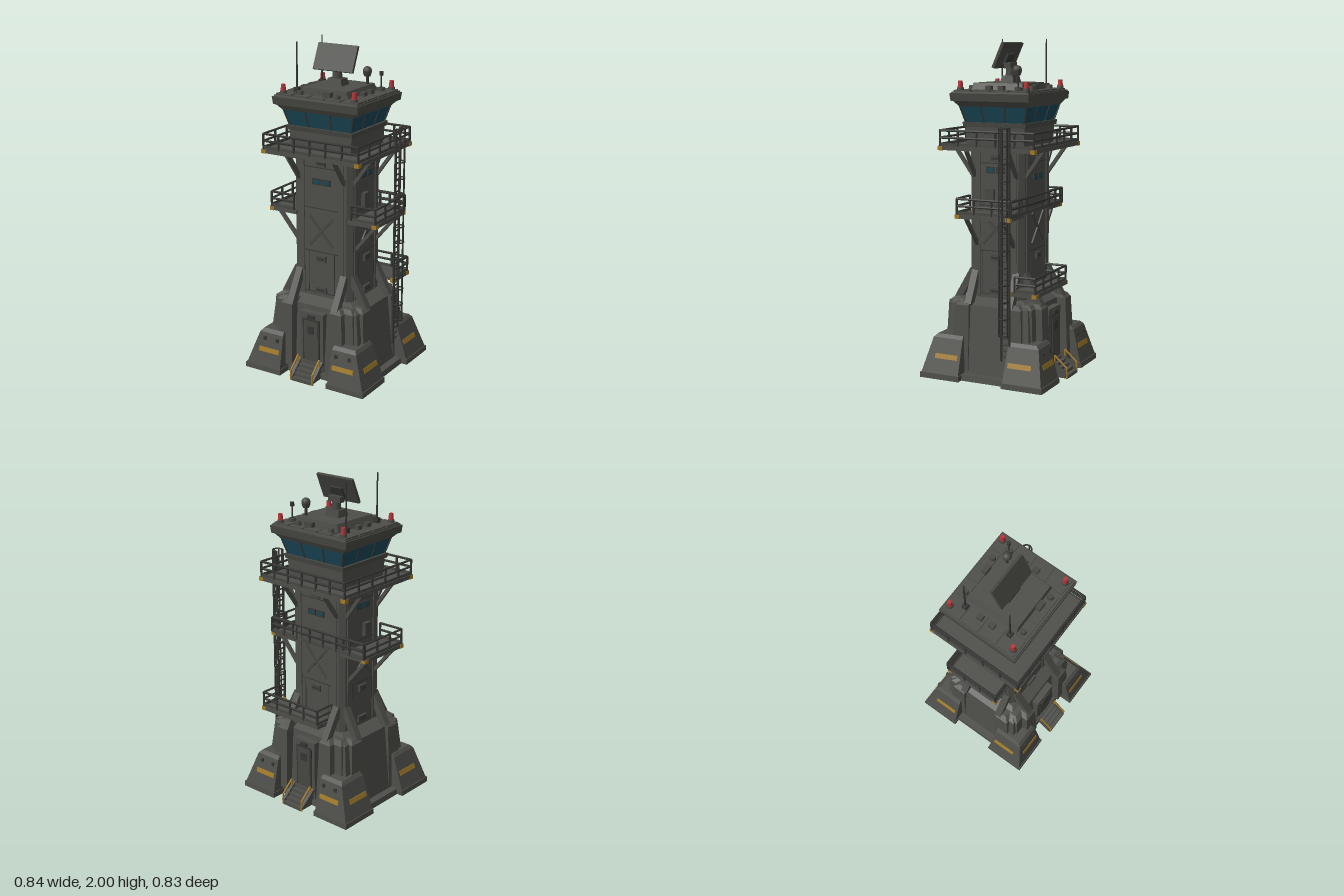
import * as THREE from 'three';

const paint = (name, color) => Object.assign(new THREE.MeshStandardMaterial({ color }), { name });

export function createModel() {
  const root = new THREE.Group();
  root.name = 'controlTower';
  const wall = paint('concrete grey', 0x4d4e49), trim = paint('panel grey', 0x464742);
  const steel = paint('dark steel', 0x353633), yellow = paint('hazard yellow', 0xa07a28);
  const glass = paint('window blue', 0x1a4656), red = paint('beacon red', 0xb03538);

  const add = (name, geo, mat, parent = root) => {
    const m = new THREE.Mesh(geo, mat);
    m.name = name;
    parent.add(m);
    return m;
  };
  const box = (name, mat, w, h, d, x, y, z, parent) =>
    add(name, new THREE.BoxGeometry(w, h, d), mat, parent).position.set(x, y, z);
  const cyl = (name, mat, r0, r1, h, x, y, z, n = 12) =>
    add(name, new THREE.CylinderGeometry(r1, r0, h, n), mat).position.set(x, y + h / 2, z);
  // Block between two rectangles [xMin, xMax, zMin, zMax] at heights y0 and y1
  const block = (name, mat, a, b, y0, y1) => {
    const g = new THREE.BoxGeometry(1, 1, 1), p = g.attributes.position;
    for (let i = 0; i < p.count; i++) {
      const top = p.getY(i) > 0, r = top ? b : a;
      p.setXYZ(i, r[p.getX(i) > 0 ? 1 : 0], top ? y1 : y0, r[p.getZ(i) > 0 ? 3 : 2]);
    }
    g.computeVertexNormals();
    add(name, g, mat);
  };
  const taper = (name, mat, x0, z0, x1, z1, y0, y1) =>
    block(name, mat, [-x0, x0, -z0, z0], [-x1, x1, -z1, z1], y0, y1);
  // Straight bar between two points; square when n is 4
  const bar = (name, mat, a, b, r, n = 6, parent = root) => {
    const p = new THREE.Vector3(...a), q = new THREE.Vector3(...b), d = q.clone().sub(p);
    let g = new THREE.CylinderGeometry(r, r, d.length(), n);
    if (n === 4) {
      g = g.rotateY(Math.PI / 4).toNonIndexed();
      g.computeVertexNormals();
    }
    const m = add(name, g, mat, parent);
    m.position.copy(p).add(q).multiplyScalar(0.5);
    m.quaternion.setFromUnitVectors(new THREE.Vector3(0, 1, 0), d.normalize());
  };
  // Railing with toe board along floor points [x, z]
  const railing = (pts, y) => {
    for (let i = 0; i + 1 < pts.length; i++) {
      const [ax, az] = pts[i], [bx, bz] = pts[i + 1];
      for (const h of [0.05, 0.092]) bar('handrail', steel, [ax, y + h, az], [bx, y + h, bz], 0.007);
      box('toeBoard', trim, Math.abs(bx - ax) + 0.006, 0.022, Math.abs(bz - az) + 0.006,
        (ax + bx) / 2, y + 0.008, (az + bz) / 2);
      const n = Math.max(1, Math.round(Math.hypot(bx - ax, bz - az) / 0.11));
      for (let k = 0; k <= n; k++) {
        const x = ax + (bx - ax) * k / n, z = az + (bz - az) * k / n;
        bar('railPost', steel, [x, y, z], [x, y + 0.092, z], 0.007);
      }
    }
  };
  // Turned frame whose local +z is the outward side: front, left, back, right
  const side = (k, name) => {
    const g = new THREE.Group();
    g.name = name;
    g.rotation.y = k * Math.PI / 2;
    root.add(g);
    return g;
  };

  // Plinth and base body
  taper('plinth', wall, 0.38, 0.31, 0.375, 0.305, 0, 0.035);
  taper('baseBody', wall, 0.33, 0.285, 0.285, 0.25, 0.03, 0.44);
  taper('baseCap', wall, 0.285, 0.25, 0.2, 0.178, 0.44, 0.475);

  // Stepped corner buttresses with hazard stripes
  for (const sx of [-1, 1]) for (const sz of [-1, 1]) {
    const r = (x0, x1, z0, z1) => [Math.min(sx * x0, sx * x1), Math.max(sx * x0, sx * x1),
      Math.min(sz * z0, sz * z1), Math.max(sz * z0, sz * z1)];
    block('buttressFoot', wall, r(0.165, 0.42, 0.14, 0.4), r(0.165, 0.418, 0.14, 0.398), 0, 0.032);
    block('buttressLower', wall, r(0.17, 0.412, 0.145, 0.392), r(0.175, 0.342, 0.15, 0.345), 0.032, 0.235);
    block('buttressBevel', wall, r(0.175, 0.342, 0.15, 0.345), r(0.18, 0.325, 0.155, 0.325), 0.235, 0.255);
    // Upper tier in three blocks, leaving a notched corner
    for (const [x, z] of [[0.235, 0.327], [0.29, 0.287], [0.33, 0.235]]) {
      const top = r(0.13, x - 0.02, 0.125, z - 0.02);
      block('buttressUpper', wall, r(0.122, x, 0.12, z), top, 0.05, 0.44);
      block('buttressTop', wall, top, r(0.135, x - 0.05, 0.13, z - 0.05), 0.44, 0.462);
    }
    const out = (y, d) => (d === 'x' ? 0.412 - 0.345 * (y - 0.032) : 0.392 - 0.2315 * (y - 0.032));
    const [y0, y1] = [0.118, 0.146];
    block('stripe', yellow, r(0.19, 0.335, out(y0, 'z') - 0.004, out(y0, 'z') + 0.003),
      r(0.19, 0.335, out(y1, 'z') - 0.004, out(y1, 'z') + 0.003), y0, y1);
    block('stripe', yellow, r(out(y0, 'x') - 0.004, out(y0, 'x') + 0.003, 0.165, 0.315),
      r(out(y1, 'x') - 0.004, out(y1, 'x') + 0.003, 0.165, 0.315), y0, y1);
    for (const x of [0.21, 0.3]) box('anchorBolt', steel, 0.018, 0.022, 0.012, sx * x, 0.2, sz * 0.354);
    // Raking struts from buttress to shaft
    bar('strut', wall, [sx * 0.155, 0.44, sz * 0.275], [sx * 0.155, 0.63, sz * 0.165], 0.03, 4);
    bar('strut', wall, [sx * 0.285, 0.44, sz * 0.135], [sx * 0.185, 0.63, sz * 0.135], 0.03, 4);
  }

  // Doors with stairs, front and back
  for (const k of [0, 2]) {
    const g = side(k, 'entrance');
    box('doorSurround', wall, 0.165, 0.41, 0.06, 0, 0.205, 0.265, g);
    box('doorFrame', steel, 0.12, 0.28, 0.008, 0, 0.23, 0.296, g);
    box('door', trim, 0.098, 0.262, 0.012, 0, 0.228, 0.297, g);
    box('doorWindow', steel, 0.045, 0.05, 0.006, 0, 0.3, 0.302, g);
    box('doorLamp', steel, 0.05, 0.02, 0.02, 0, 0.385, 0.297, g);
    for (let i = 0; i < 5; i++)
      box('step', wall, 0.14, 0.02 * (i + 1), 0.026, 0, 0.01 * (i + 1), 0.4 - 0.025 * i, g);
    for (const s of [-1, 1]) {
      bar('stairStringer', wall, [s * 0.076, 0.02, 0.405], [s * 0.076, 0.105, 0.3], 0.014, 4, g);
      bar('stairHandrail', yellow, [s * 0.076, 0.065, 0.408], [s * 0.076, 0.135, 0.33], 0.006, 6, g);
      bar('stairPost', yellow, [s * 0.076, 0, 0.408], [s * 0.076, 0.065, 0.408], 0.006, 6, g);
      bar('stairPost', yellow, [s * 0.076, 0.08, 0.33], [s * 0.076, 0.135, 0.33], 0.006, 6, g);
    }
  }

  // Chamfered shaft
  const [hx, hz, c] = [0.2, 0.177, 0.03];
  const plan = new THREE.Shape([[hx - c, -hz], [hx, c - hz], [hx, hz - c], [hx - c, hz],
    [c - hx, hz], [-hx, hz - c], [-hx, c - hz], [c - hx, -hz]].map(p => new THREE.Vector2(...p)));
  const shaft = new THREE.ExtrudeGeometry(plan, { depth: 1.0, bevelEnabled: false }).rotateX(-Math.PI / 2);
  add('shaft', shaft, wall).position.y = 0.42;

  // Panels, vents, cross braces and small windows on each shaft face
  for (let k = 0; k < 4; k++) {
    const g = side(k, 'shaftFace'), d = k % 2 ? hx : hz, w = k % 2 ? 0.135 : 0.155;
    const wy = k % 2 ? 1.24 : 1.195;
    for (const y of [0.5, 0.76, 1.03, 1.28]) box('seam', steel, w * 2, 0.005, 0.004, 0, y, d, g);
    for (const s of [-1, 1]) {
      box('cornerPlate', wall, 0.035, 0.88, 0.008, s * (w - 0.018), 0.92, d + 0.002, g);
      box('panelEdge', steel, 0.004, 0.26, 0.004, s * 0.09, 0.63, d, g);
      bar('crossBrace', trim, [-s * 0.08, 0.8, d + 0.002], [s * 0.08, 0.98, d + 0.002], 0.01, 4, g);
      box('windowFrame', steel, 0.055, 0.038, 0.008, s * 0.033, wy, d + 0.003, g);
      box('window', glass, 0.04, 0.025, 0.008, s * 0.033, wy, d + 0.005, g);
      bar('deckBrace', wall, [s * w, 1.2, d - 0.005], [s * w, 1.36, d + 0.11], 0.014, 4, g);
    }
    for (const [y, vw] of [[1.31, 0.06], [0.72, 0.065], [0.52, 0.075]]) {
      box('vent', trim, vw, 0.04, 0.02, 0, y, d + 0.004, g);
      box('ventSlot', steel, vw * 0.75, 0.014, 0.006, 0, y, d + 0.013, g);
    }
  }
  for (const s of [-1, 1]) box('serviceBox', trim, 0.03, 0.08, 0.055, s * 0.21, 1.09, 0.03);

  // Decks: side balconies, rear landing and top gallery
  const deck = (name, x0, x1, z0, z1, y) => {
    box(name, wall, x1 - x0, 0.024, z1 - z0, (x0 + x1) / 2, y, (z0 + z1) / 2);
    for (const x of [x0, x1]) for (const z of [z0, z1]) if (Math.abs(x) > 0.3)
      box('cornerMark', yellow, 0.03, 0.024, 0.03, x - Math.sign(x) * 0.013, y - 0.002, z - Math.sign(z) * 0.013);
  };
  deck('topDeck', -0.33, 0.33, -0.31, 0.31, 1.37);
  railing([[-0.322, -0.302], [0.322, -0.302], [0.322, 0.302], [-0.322, 0.302], [-0.322, -0.302]], 1.38);
  for (const s of [-1, 1]) {
    deck('sideBalcony', Math.min(s * 0.18, s * 0.37), Math.max(s * 0.18, s * 0.37), -0.175, 0.178, 0.98);
    railing([[s * 0.2, -0.168], [s * 0.362, -0.168], [s * 0.362, 0.171], [s * 0.2, 0.171]], 0.99);
    for (const z of [-0.12, 0.12]) bar('balconyBrace', wall, [s * 0.195, 0.79, z], [s * 0.345, 0.97, z], 0.014, 4);
  }
  railing([[-0.362, -0.18], [0.362, -0.18]], 0.99);
  deck('rearLanding', -0.13, 0.325, -0.32, -0.16, 0.54);
  railing([[-0.122, -0.18], [-0.122, -0.312], [0.317, -0.312], [0.317, -0.18]], 0.55);

  // Caged ladder
  for (const z of [-0.105, -0.157]) bar('ladderRail', steel, [0.337, 0.14, z], [0.337, 1.5, z], 0.008);
  for (let y = 0.17; y < 1.49; y += 0.035) bar('rung', steel, [0.337, y, -0.105], [0.337, y, -0.157], 0.005, 5);
  for (const [x, z] of [[0.368, -0.105], [0.368, -0.157], [0.38, -0.131]])
    bar('cageBar', steel, [x, 0.29, z], [x, 1.5, z], 0.005, 5);
  for (let y = 0.3; y < 1.52; y += 0.1) {
    const hoop = add('cageHoop', new THREE.TorusGeometry(0.028, 0.005, 5, 12, Math.PI), steel);
    hoop.rotation.set(Math.PI / 2, 0, -Math.PI / 2);
    hoop.position.set(0.354, y, -0.131);
    for (const z of [-0.103, -0.159]) bar('cageArm', steel, [0.337, y, z], [0.356, y, z], 0.005, 5);
  }

  // Cab with raked glazing
  taper('cabWall', wall, 0.205, 0.185, 0.212, 0.192, 1.38, 1.5);
  taper('cabSill', trim, 0.222, 0.2, 0.225, 0.205, 1.49, 1.518);
  taper('cabGlass', glass, 0.209, 0.189, 0.237, 0.217, 1.518, 1.615);
  for (let k = 0; k < 4; k++) {
    const g = side(k, 'glazingBars'), [w, d] = k % 2 ? [0.189, 0.209] : [0.209, 0.189];
    for (const t of [-1, -0.36, 0.36, 1])
      bar('mullion', steel, [t * w, 1.515, d], [t * (w + 0.028), 1.617, d + 0.028], 0.006, 4, g);
  }

  // Roof: flat slab with tiles and a raised centre
  taper('roofSoffit', wall, 0.24, 0.218, 0.275, 0.24, 1.61, 1.643);
  taper('roofEdge', trim, 0.285, 0.25, 0.29, 0.255, 1.643, 1.688);
  taper('roofPlate', wall, 0.282, 0.248, 0.28, 0.246, 1.685, 1.697);
  block('roofRise', wall, [-0.155, 0.18, -0.16, 0.168], [-0.135, 0.16, -0.155, 0.165], 1.695, 1.745);
  for (const s of [-1, 1]) {
    for (const z of [-0.18, -0.06, 0.06, 0.18]) box('roofPanel', wall, 0.105, 0.01, 0.108, s * 0.222, 1.701, z);
    for (const x of [-0.108, 0, 0.108]) box('roofPanel', wall, 0.1, 0.01, 0.06, x, 1.701, s * 0.203);
    for (const z of [-0.04, 0.04]) box('roofVent', trim, 0.033, 0.03, 0.035, s * 0.2, 1.715, z);
    for (const x of [-0.13, 0.12]) cyl('roofCap', trim, 0.02, 0.016, 0.03, x, 1.7, s * 0.195);
    box('roofUnit', trim, 0.055, 0.035, 0.03, 0.045, 1.717, s * 0.182);
    // Corner beacons
    for (const z of [-0.217, 0.208]) {
      cyl('beaconBase', trim, 0.023, 0.019, 0.025, s * 0.24, 1.695, z);
      cyl('beaconLamp', red, 0.016, 0.013, 0.038, s * 0.24, 1.72, z);
    }
  }
  // Whip antennas
  for (const [x, z] of [[-0.197, -0.143], [-0.185, 0.146]]) {
    box('antennaBase', steel, 0.03, 0.04, 0.03, x, 1.715, z);
    cyl('antenna', steel, 0.006, 0.004, 0.28, x, 1.72, z, 6);
  }
  // Dome and sensor masts
  cyl('domeMast', steel, 0.01, 0.008, 0.1, 0.137, 1.71, -0.11, 8);
  cyl('domeCollar', trim, 0.018, 0.026, 0.02, 0.137, 1.79, -0.11);
  add('dome', new THREE.SphereGeometry(0.027, 16, 12), trim).position.set(0.137, 1.822, -0.11);
  cyl('sensorFoot', trim, 0.025, 0.022, 0.025, 0.208, 1.7, -0.15, 6);
  cyl('sensorMast', steel, 0.005, 0.005, 0.09, 0.208, 1.71, -0.15, 6);
  cyl('sensorHead', steel, 0.012, 0.012, 0.025, 0.208, 1.795, -0.15, 6);

  // Tilted radar panel on its pedestal
  taper('radarBase', trim, 0.055, 0.045, 0.045, 0.035, 1.74, 1.785);
  cyl('radarPost', trim, 0.03, 0.025, 0.065, 0, 1.78, 0);
  box('radarYoke', trim, 0.09, 0.035, 0.04, 0, 1.845, 0);
  const radar = new THREE.Group();
  radar.name = 'radar';
  radar.position.set(0, 1.905, 0.018);
  radar.rotation.x = -0.42;
  root.add(radar);
  box('radarPanel', trim, 0.268, 0.16, 0.018, 0, 0, 0, radar);
  box('radarSpine', steel, 0.09, 0.07, 0.02, 0, -0.02, -0.013, radar);
  return root;
}
